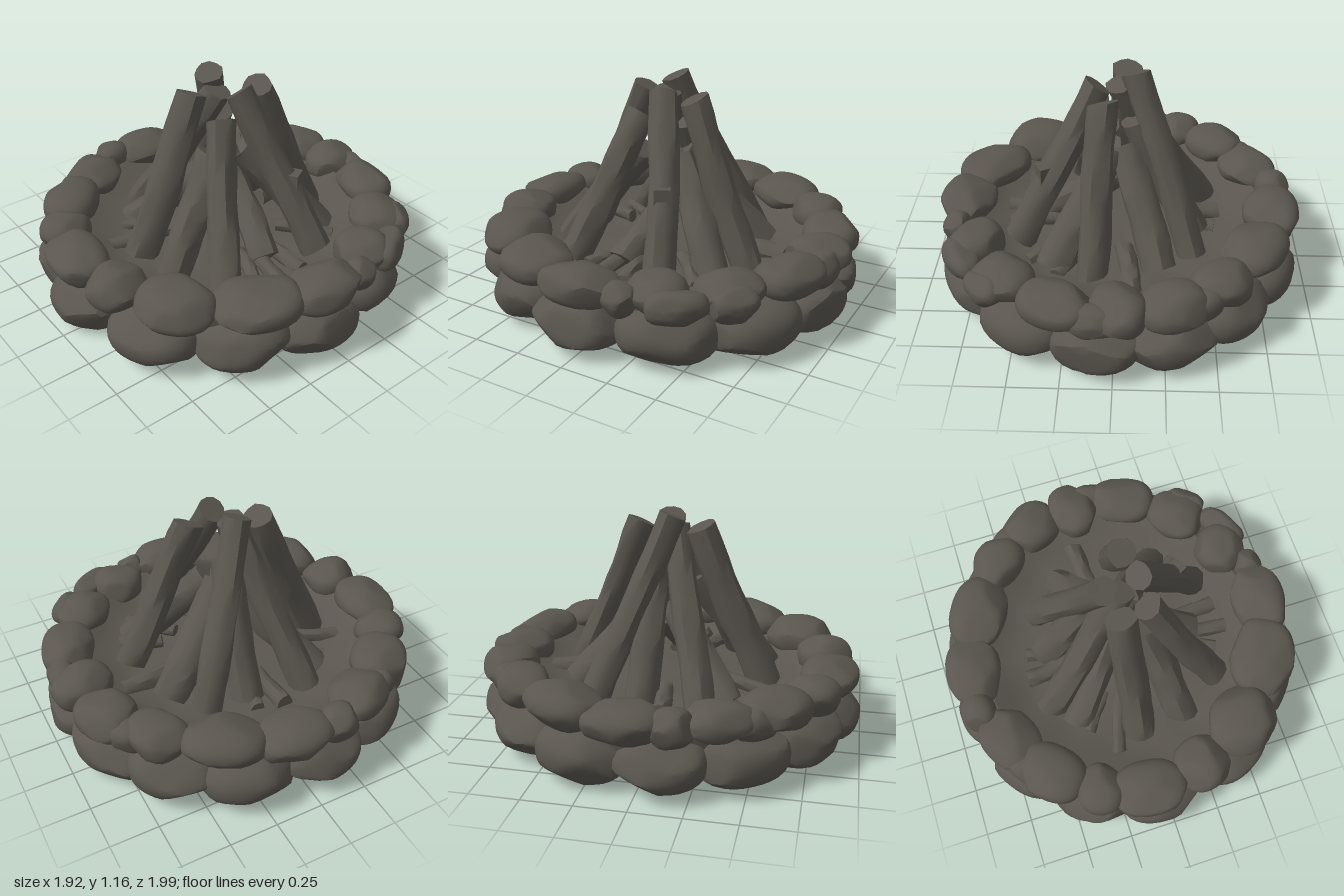
import * as THREE from 'three';
import { toCreasedNormals } from 'three/addons/utils/BufferGeometryUtils.js';

const charcoal = new THREE.MeshStandardMaterial({ color: 0x5a564f });
charcoal.name = 'charcoal grey';

// small seeded generator
let seed = 11;
const rand = (a = 0, b = 1) => {
  seed = (seed * 16807) % 2147483647;
  return a + (b - a) * (seed / 2147483647);
};

// moves every vertex of a geometry by a rule
function warp(geo, rule) {
  const p = geo.attributes.position;
  const v = new THREE.Vector3();
  for (let i = 0; i < p.count; i++) {
    v.fromBufferAttribute(p, i);
    rule(v);
    p.setXYZ(i, v.x, v.y, v.z);
  }
  return geo;
}

function add(group, geo, name, crease = 0.6) {
  const mesh = new THREE.Mesh(toCreasedNormals(geo, crease), charcoal);
  mesh.name = name;
  group.add(mesh);
  return mesh;
}

// boulder: a sphere flattened by random planes; size is tangential, vertical, radial
function stone(group, name, x, y, z, sx, sy, sz) {
  const cuts = [];
  for (let i = 0; i < 11; i++) {
    const n = new THREE.Vector3(rand(-1, 1), rand(-1, 1), rand(-1, 1)).normalize();
    cuts.push([n, rand(0.84, 0.95)]);
  }
  const geo = warp(new THREE.IcosahedronGeometry(1, 5), v => {
    // slightly boxy ball
    const q = Math.pow(Math.abs(v.x) ** 2.4 + Math.abs(v.y) ** 2.4 + Math.abs(v.z) ** 2.4, -1 / 2.4);
    v.multiplyScalar(q);
    for (const [n, d] of cuts) {
      const over = v.dot(n) - d;
      if (over > 0) v.addScaledVector(n, -over * 0.8);
    }
    v.set(v.x * sx, v.y * sy, v.z * sz);
  });
  const mesh = add(group, geo, name);
  mesh.position.set(x, y, z);
  mesh.rotation.set(0, Math.atan2(x, z), rand(-0.05, 0.05));
}

// rough log between two points
function log(group, name, top, foot, radius) {
  const a = new THREE.Vector3(...top);
  const b = new THREE.Vector3(...foot);
  const len = a.distanceTo(b);
  const k = rand(0, 6);
  const tilt = rand(-0.3, 0.3);
  const geo = warp(new THREE.CylinderGeometry(radius * 0.96, radius * 1.06, len, 11, 9), v => {
    const t = v.y / len;
    const ang = Math.atan2(v.x, v.z);
    const s = 1 + 0.05 * Math.sin(3 * ang + k + t * 4) + 0.04 * Math.sin(5 * ang - k + t * 9)
      + 0.03 * Math.sin(t * 17 + k);
    if (Math.abs(t) > 0.49) v.y += v.x * tilt;
    v.x = v.x * s + 0.005 * Math.sin(t * 6 + k);
    v.z = v.z * s + 0.005 * Math.cos(t * 5 + k);
  });
  const mesh = add(group, geo, name, 0.7);
  mesh.position.copy(a).add(b).multiplyScalar(0.5);
  mesh.quaternion.setFromUnitVectors(new THREE.Vector3(0, 1, 0), a.sub(b).normalize());
  return mesh;
}

export function createModel() {
  seed = 11;
  const model = new THREE.Group();
  model.name = 'stoneRingCampfire';

  // ash bed with a flat underside and a low bank behind the stones
  const profile = [[0, 0.07], [0.35, 0.07], [0.68, 0.06], [0.8, 0.1], [0.83, 0.22], [0.83, 0.3],
    [0.76, 0.34], [0.68, 0.3], [0.6, 0.265], [0.5, 0.25], [0.35, 0.25], [0.18, 0.26], [0, 0.27]];
  const bed = new THREE.LatheGeometry(profile.map(p => new THREE.Vector2(...p)), 56);
  warp(bed, v => {
    if (v.y > 0.15) v.y += 0.01 * Math.sin(v.x * 17 + 1) * Math.sin(v.z * 15);
  });
  add(model, bed, 'ashBed', 0.8);

  // lower ring of large boulders, a little longer in z
  const lower = new THREE.Group();
  lower.name = 'lowerStones';
  model.add(lower);
  const angles = [-3, 30, 60, 87, 118, 147, 174, 200, 225, 250, 277, 304, 331];
  for (const deg of angles) {
    const a = THREE.MathUtils.degToRad(deg);
    stone(lower, 'lowerStone', Math.sin(a) * 0.77, 0.147 + rand(-0.01, 0.008), Math.cos(a) * 0.8,
      rand(0.225, 0.245), rand(0.132, 0.142), rand(0.195, 0.207));
  }

  // upper ring: x, z, tangential and radial half sizes
  const upper = new THREE.Group();
  upper.name = 'upperStones';
  model.add(upper);
  const upperStones = [
    [0.81, 0.01, 0.2, 0.145], [0.71, 0.34, 0.21, 0.17], [0.48, 0.64, 0.19, 0.17], [0.2, 0.79, 0.14, 0.14],
    [-0.1, 0.83, 0.19, 0.14], [-0.34, 0.76, 0.12, 0.13], [-0.56, 0.6, 0.18, 0.14], [-0.72, 0.36, 0.17, 0.14],
    [-0.84, 0.17, 0.1, 0.09], [-0.81, -0.06, 0.19, 0.145], [-0.7, -0.38, 0.2, 0.15], [-0.52, -0.64, 0.16, 0.13],
    [-0.28, -0.8, 0.16, 0.14], [-0.02, -0.83, 0.14, 0.155], [0.27, -0.8, 0.18, 0.135], [0.54, -0.62, 0.16, 0.135],
    [0.71, -0.34, 0.14, 0.135],
  ];
  for (const [x, z, t, r] of upperStones) {
    stone(upper, 'upperStone', x, 0.342 + rand(-0.006, 0.008), z, t * 1.04, rand(0.092, 0.104), r * 1.04);
  }
  // wedge stones packed into the outer gaps: x, z, tangential half size
  for (const [x, z, t] of [[0.83, -0.21, 0.08], [0.77, -0.47, 0.15], [0.62, -0.68, 0.12], [0.1, -0.89, 0.13],
    [-0.42, -0.76, 0.11], [-0.68, 0.52, 0.11]]) {
    stone(upper, 'wedgeStone', x, 0.325, z, t, 0.085, 0.08);
  }

  // leaning logs: top, foot, radius
  const pile = new THREE.Group();
  pile.name = 'logPile';
  model.add(pile);
  const logs = [
    [[-0.04, 1.07, 0.15], [-0.04, 0.25, 0.49], 0.083],
    [[0.11, 0.96, 0.09], [0.44, 0.25, 0.32], 0.077],
    [[0.1, 1.08, -0.03], [0.5, 0.28, -0.23], 0.076],
    [[0.07, 1.06, -0.17], [0.12, 0.26, -0.51], 0.077],
    [[-0.09, 1.13, 0.015], [-0.39, 0.26, -0.31], 0.073],
    [[0.0, 1.06, 0.02], [-0.45, 0.26, 0.22], 0.075],
    [[-0.08, 0.9, -0.05], [-0.4, 0.25, -0.09], 0.08],
    [[0.08, 0.77, 0.12], [0.21, 0.25, 0.47], 0.083],
    [[0.04, 0.74, -0.08], [0.31, 0.25, -0.42], 0.085],
    [[-0.04, 0.74, -0.05], [-0.22, 0.25, -0.44], 0.088],
    [[0.05, 0.74, -0.06], [-0.34, 0.25, 0.34], 0.075],
    [[-0.02, 0.6, -0.06], [0.4, 0.27, 0.03], 0.075],
  ];
  for (const [top, foot, r] of logs) log(pile, 'leaningLog', top, foot, r);

  // broken bark on the back right log
  const chip = add(pile, new THREE.BoxGeometry(0.07, 0.13, 0.08), 'barkChip');
  chip.position.set(0.37, 0.63, -0.17);
  chip.rotation.y = 0.5;

  // burnt sticks lying on the ash: direction in degrees, inner and outer reach, radius
  const sticks = [[82, 0.3, 0.6, 0.04], [97, 0.3, 0.58, 0.04], [70, 0.3, 0.53, 0.035], [-85, 0.3, 0.55, 0.045],
    [-100, 0.3, 0.52, 0.035], [-172, 0.3, 0.64, 0.05], [132, 0.3, 0.6, 0.035], [-18, 0.3, 0.62, 0.035],
    [-35, 0.3, 0.53, 0.03], [150, 0.35, 0.58, 0.035]];
  for (const [deg, r0, r1, r] of sticks) {
    const a = THREE.MathUtils.degToRad(deg);
    const s = Math.sin(a), c = Math.cos(a);
    log(pile, 'burntStick', [s * r0, 0.285, c * r0], [s * r1, 0.26, c * r1], r);
  }
  return model;
}
